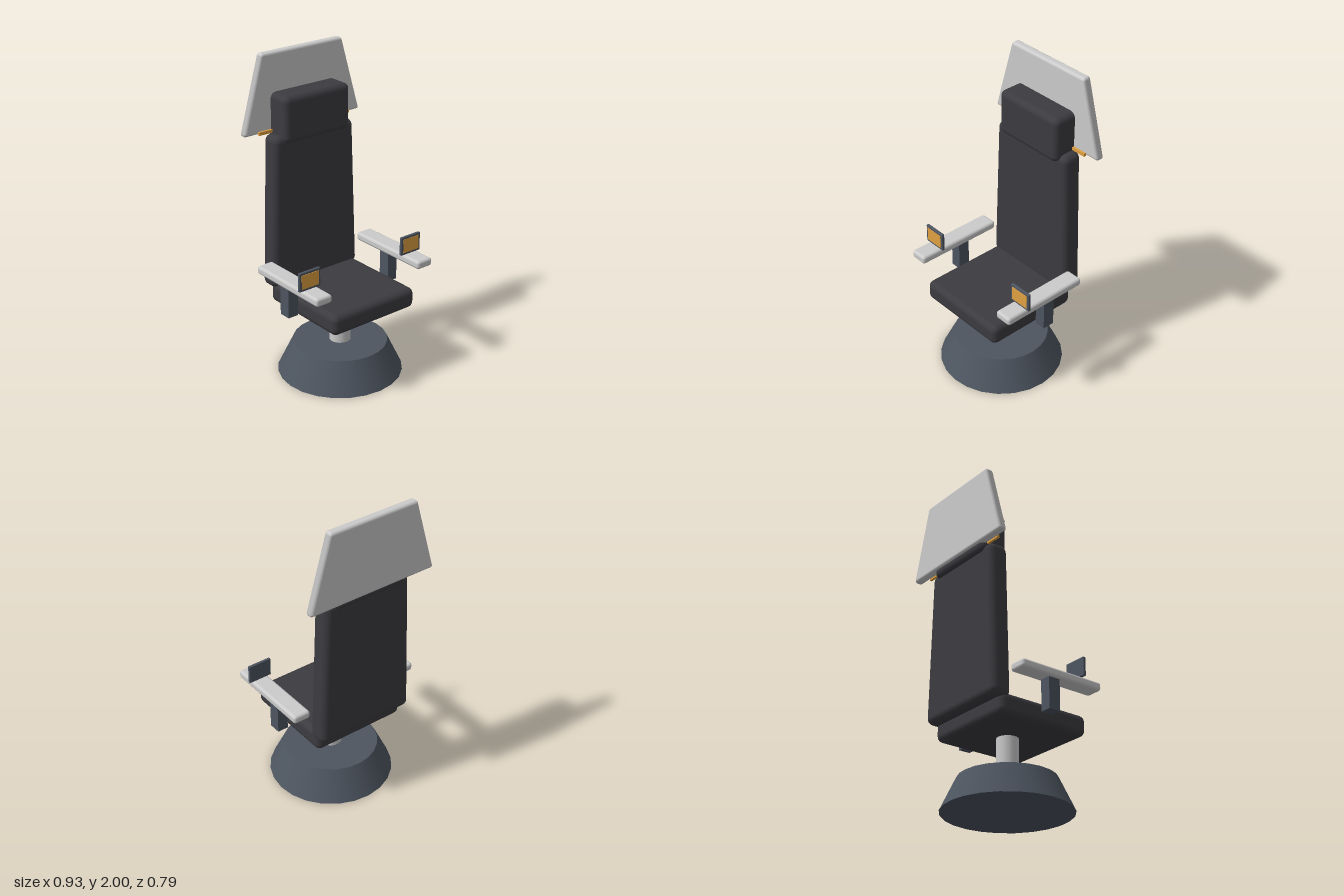
import * as THREE from 'three';
import { RoundedBoxGeometry } from 'three/addons/geometries/RoundedBoxGeometry.js';

const mat = (color) => new THREE.MeshStandardMaterial({ color });

export function createModel() {
  const chair = new THREE.Group();
  chair.name = 'chair';
  const leather = mat(0x3c3b40), steel = mat(0x4d5560), shell = mat(0xcccccc), amber = mat(0xe0a040);

  const add = (name, geometry, material, parent = chair) => {
    const mesh = new THREE.Mesh(geometry, material);
    mesh.name = name;
    parent.add(mesh);
    return mesh;
  };

  // Box given by its limits on each axis; a radius rounds its edges
  const block = (name, [x0, x1], [y0, y1], [z0, z1], radius, material, parent) => {
    const size = [x1 - x0, y1 - y0, z1 - z0];
    const geometry = radius
      ? new RoundedBoxGeometry(...size, 3, radius)
      : new THREE.BoxGeometry(...size);
    geometry.translate((x0 + x1) / 2, (y0 + y1) / 2, (z0 + z1) / 2);
    return add(name, geometry, material, parent);
  };

  // Narrow a block from full width at y0 to a fraction of it at y1
  const taper = (mesh, y0, y1, topScale) => {
    const p = mesh.geometry.attributes.position;
    for (let i = 0; i < p.count; i++) {
      const t = (p.getY(i) - y0) / (y1 - y0);
      p.setX(i, p.getX(i) * THREE.MathUtils.lerp(1, topScale, t));
    }
  };

  // Pedestal
  add('base', new THREE.CylinderGeometry(0.295, 0.39, 0.2, 24), steel).position.set(0, 0.1, 0.003);
  add('column', new THREE.CylinderGeometry(0.067, 0.067, 0.27, 24), shell).position.set(0, 0.325, 0.003);

  // Cushions
  block('seat', [-0.315, 0.315], [0.447, 0.578], [-0.29, 0.34], 0.04, leather);
  const back = block('backrest', [-0.33, 0.33], [0.545, 1.517], [-0.355, -0.222], 0.042, leather);
  taper(back, 0.545, 1.517, 0.89);
  block('headrest', [-0.243, 0.243], [1.472, 1.76], [-0.38, -0.192], 0.038, leather);

  // Panel behind the head, with a light strip along its lower edge
  const panel = block('headPanel', [-0.435, 0.435], [1.52, 2], [-0.395, -0.34], 0.018, shell);
  taper(panel, 1.52, 2, 0.68);
  block('lightStrip', [-0.34, 0.34], [1.518, 1.538], [-0.341, -0.326], 0, amber);

  // Armrests with posts and small displays
  for (const [side, s] of [['left', 1], ['right', -1]]) {
    const arm = new THREE.Group();
    arm.name = side + 'Arm';
    chair.add(arm);
    const x = (a, b) => (s > 0 ? [a, b] : [-b, -a]);
    block('armPost', x(0.355, 0.425), [0.495, 0.7], [-0.035, 0.043], 0, steel, arm);
    block('armPad', x(0.332, 0.447), [0.69, 0.743], [-0.24, 0.343], 0.018, shell, arm);
    block('displayFrame', x(0.313, 0.467), [0.742, 0.862], [0.19, 0.209], 0.006, steel, arm);
    block('displayScreen', x(0.329, 0.451), [0.758, 0.847], [0.2, 0.212], 0, amber, arm);
  }
  return chair;
}
